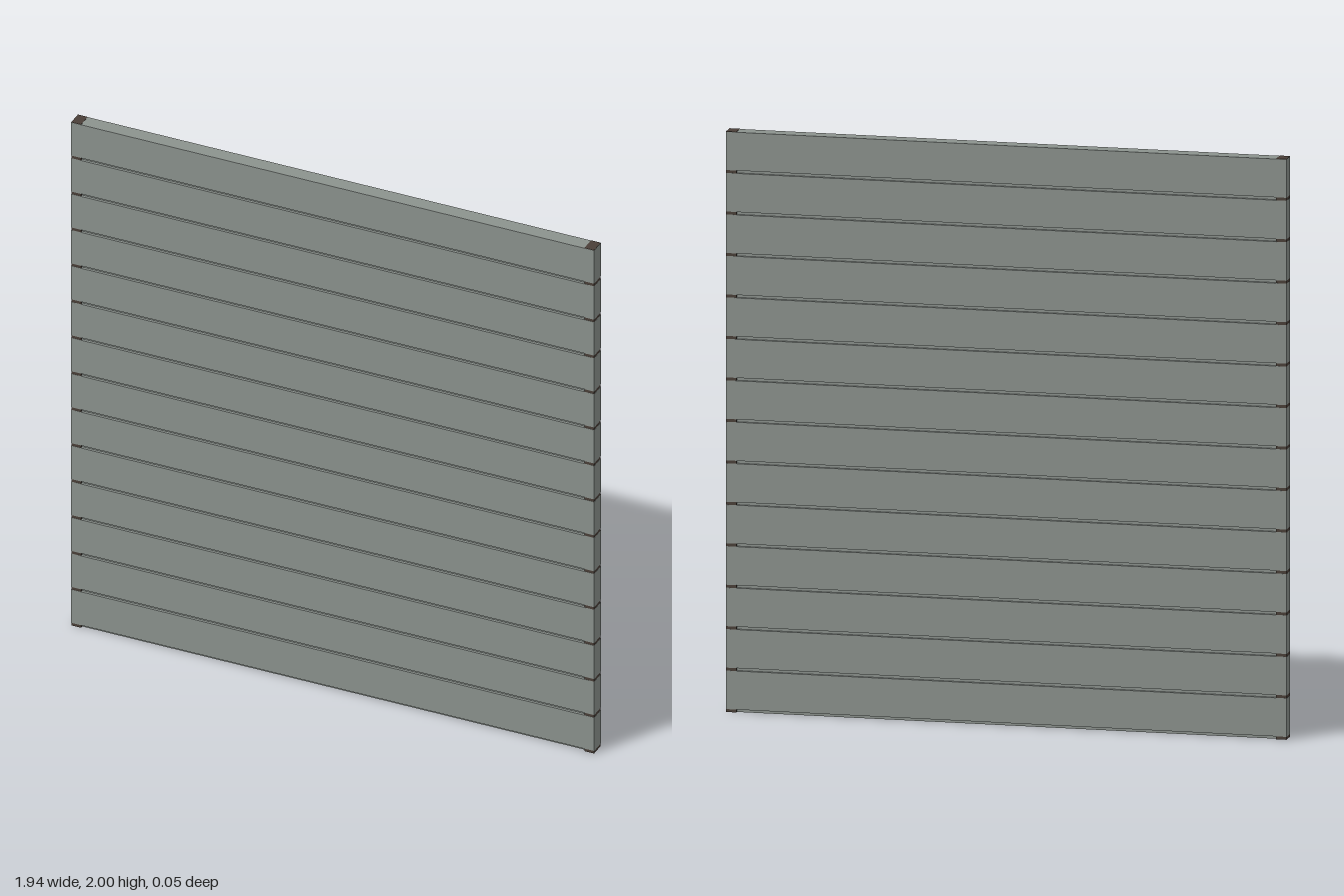
import * as THREE from 'three';

const W = 1.94, H = 2, D = 0.054;   // overall panel size
const ROWS = 14, GAP = 0.01, POST = 0.036;

export function createModel() {
  const panel = new THREE.Group();
  panel.name = 'slattedFencePanel';
  const slatMat = new THREE.MeshStandardMaterial({ color: 0x8c938e });
  const postMat = new THREE.MeshStandardMaterial({ color: 0x4a3f38 });

  const addBox = (name, w, h, d, x, y, material) => {
    const mesh = new THREE.Mesh(new THREE.BoxGeometry(w, h, d), material);
    mesh.name = name;
    mesh.position.set(x, y, 0);
    panel.add(mesh);
  };

  // Horizontal slats, each with a narrow groove beneath it
  const pitch = H / ROWS;
  for (let i = 0; i < ROWS; i++) {
    const h = pitch - GAP - (i === ROWS - 1 ? 0.001 : 0);
    addBox(`slat${i + 1}`, W, h, D, 0, i * pitch + GAP + h / 2, slatMat);
  }

  // Recessed tongues closing the grooves between the end posts
  for (let i = 0; i < ROWS; i++) {
    addBox(`tongue${i + 1}`, W - 2 * POST, GAP, D * 0.65, 0, i * pitch + GAP / 2, slatMat);
  }

  // Slim end posts, a hair inside the slat faces
  for (const side of [-1, 1]) {
    addBox(side > 0 ? 'leftPost' : 'rightPost', POST, H, D - 0.001,
      side * (W / 2 - POST / 2 - 0.0005), H / 2, postMat);
  }
  return panel;
}
